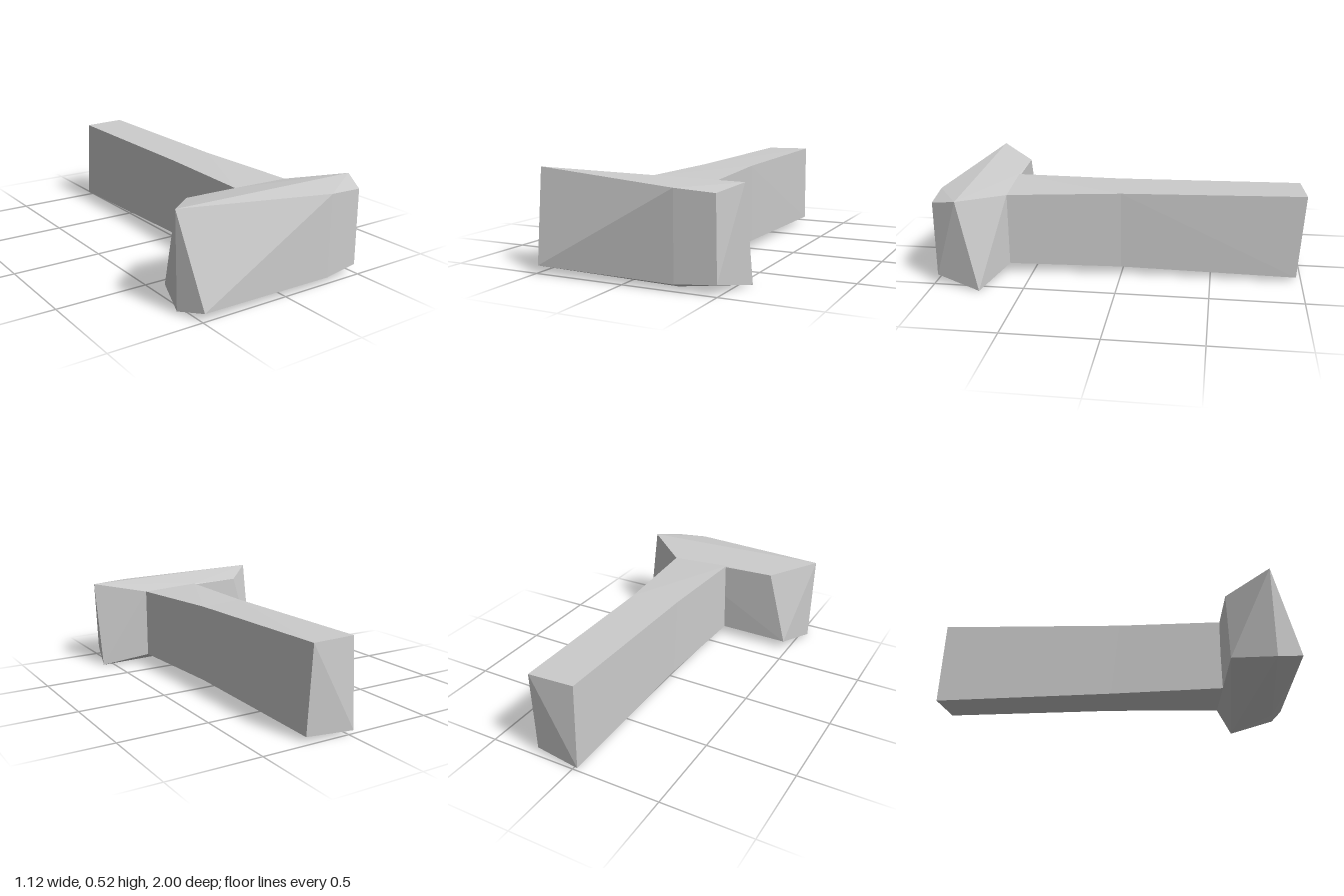
import * as THREE from 'three';
import { ConvexGeometry } from 'three/addons/geometries/ConvexGeometry.js';

// Lofts four-cornered sections, listed back to front, and closes the back end.
// Corner order: bottom -x, bottom +x, top +x, top -x.
function loft(sections) {
  const index = [];
  for (let s = 0; s < sections.length - 1; s++) {
    for (let c = 0; c < 4; c++) {
      const a = s * 4 + c, b = s * 4 + (c + 1) % 4;
      index.push(a, b, b + 4, a, b + 4, a + 4);
    }
  }
  index.push(0, 3, 2, 0, 2, 1);
  const geometry = new THREE.BufferGeometry();
  geometry.setAttribute('position', new THREE.Float32BufferAttribute(sections.flat(2), 3));
  geometry.setIndex(index);
  const flat = geometry.toNonIndexed();
  flat.computeVertexNormals();
  return flat;
}

export function createModel() {
  const model = new THREE.Group();
  model.name = 'tBlock';
  const grey = new THREE.MeshStandardMaterial({ color: 0xcccccc, flatShading: true });
  grey.name = 'plain grey';

  // Cross bar: an irregular faceted block
  const corners = [
    // front face
    [-0.49, 0.045, 1], [0.28, 0.037, 1], [0.49, 0.055, 0.98],
    [0.485, 0.47, 0.98], [0.28, 0.484, 1],
    // outer ends
    [-0.56, 0.525, 0.86], [-0.55, 0.017, 0.86],
    [0.56, 0.505, 0.83], [0.56, 0.003, 0.73],
    // underside
    [0.28, 0.016, 0.95],
    // back face
    [-0.47, 0.05, 0.635], [-0.35, 0.48, 0.643], [-0.05, 0.478, 0.643],
    [-0.06, 0.055, 0.643], [0.3, 0.465, 0.625], [0.3, 0.06, 0.625],
  ].map((p) => new THREE.Vector3(...p));
  const bar = new THREE.Mesh(new ConvexGeometry(corners), grey);
  bar.name = 'crossBar';
  model.add(bar);

  // Stem: long tapering beam that flares where it meets the cross bar
  const stem = new THREE.Mesh(loft([
    [[-0.03, 0.02, -1], [0.235, 0.03, -0.97], [0.225, 0.497, -1], [-0.025, 0.495, -0.98]],
    [[-0.03, 0.045, 0], [0.245, 0.048, 0], [0.243, 0.48, 0], [-0.025, 0.482, 0.05]],
    [[-0.06, 0.055, 0.643], [0.3, 0.06, 0.625], [0.3, 0.465, 0.625], [-0.05, 0.478, 0.643]],
    [[-0.06, 0.06, 0.7], [0.3, 0.065, 0.7], [0.3, 0.46, 0.7], [-0.05, 0.47, 0.7]],
  ]), grey);
  stem.name = 'stem';
  model.add(stem);

  return model;
}
